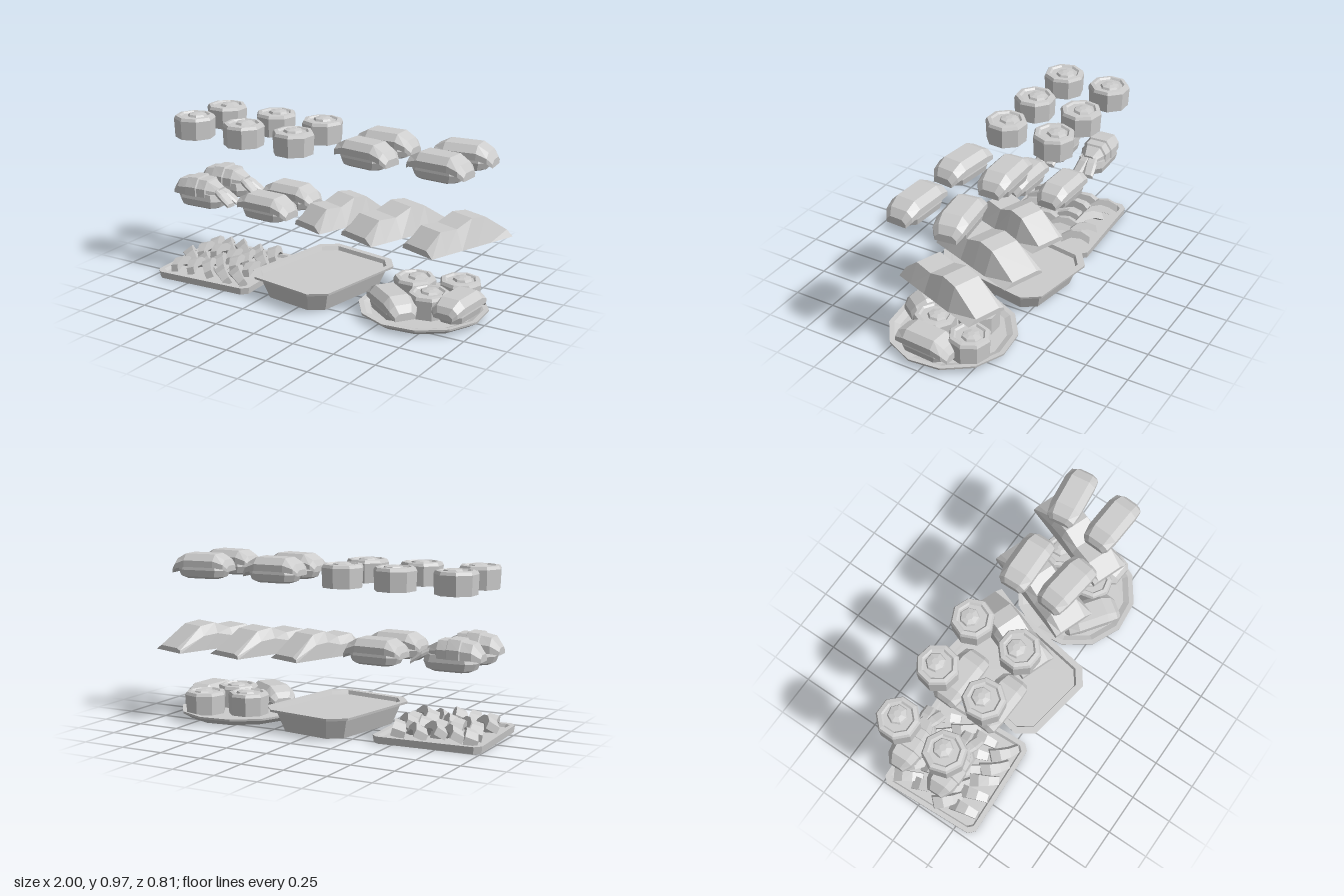
import * as THREE from 'three';

// Skin a list of closed rings ([x,y,z] points), cap both ends, faceted normals
function loft(rings) {
  const tris = [], n = rings[0].length;
  const tri = (a, b, c) => tris.push([a, b, c]);
  for (let i = 0; i + 1 < rings.length; i++) {
    for (let j = 0; j < n; j++) {
      const k = (j + 1) % n, p = rings[i], q = rings[i + 1];
      tri(p[j], p[k], q[k]);
      tri(p[j], q[k], q[j]);
    }
  }
  const first = rings[0], last = rings[rings.length - 1];
  for (let j = 1; j + 1 < n; j++) {
    tri(first[0], first[j + 1], first[j]);
    tri(last[0], last[j], last[j + 1]);
  }
  // Turn all faces outward by the sign of the enclosed volume
  const v = (p) => new THREE.Vector3(...p);
  let volume = 0;
  for (const [a, b, c] of tris) volume += v(a).dot(v(b).cross(v(c)));
  const pos = tris.flatMap(([a, b, c]) => (volume < 0 ? [a, c, b] : [a, b, c])).flat();
  const g = new THREE.BufferGeometry();
  g.setAttribute('position', new THREE.Float32BufferAttribute(pos, 3));
  g.computeVertexNormals();
  return g;
}

// Horizontal rectangle with clipped corners
function clipRect(w, d, c, y) {
  const x = w / 2, z = d / 2;
  return [[x, z - c], [x - c, z], [c - x, z], [-x, z - c], [-x, c - z], [c - x, -z], [x - c, -z], [x, c - z]]
    .map(([a, b]) => [a, y, b]);
}

// Horizontal regular polygon
function polygon(r, y, sides) {
  return Array.from({ length: sides }, (_, i) => {
    const a = ((i + 0.5) / sides) * Math.PI * 2;
    return [r * Math.cos(a), y, r * Math.sin(a)];
  });
}

// Slab along x from stations [x, bottom, top, halfWidth]
function drape(stations) {
  return loft(stations.map(([x, b, t, w]) => {
    const s = b + (t - b) * 0.5;
    return [[x, b, -w], [x, s, -w], [x, t, -w * 0.6], [x, t, w * 0.6], [x, s, w], [x, b, w]];
  }));
}

export function createModel() {
  const model = new THREE.Group();
  model.name = 'sushiSet';
  const grey = new THREE.MeshStandardMaterial({ color: 0xcccccc });
  grey.name = 'lightGrey';

  const mesh = (name, geometry, parent) => {
    const m = new THREE.Mesh(geometry, grey);
    m.name = name;
    parent.add(m);
    return m;
  };
  const group = (name, x, y, z, turn = 0) => {
    const g = new THREE.Group();
    g.name = name;
    g.position.set(x, y, z);
    g.rotation.y = turn;
    model.add(g);
    return g;
  };

  // Rolls: wrapper with a sunken top and a low filling
  const rollBody = loft([
    polygon(0.116, 0, 8), polygon(0.121, 0.11, 8), polygon(0.112, 0.127, 8),
    polygon(0.09, 0.13, 8), polygon(0.08, 0.12, 8),
  ]);
  const rollFilling = loft([polygon(0.06, 0.115, 7), polygon(0.05, 0.132, 7), polygon(0.02, 0.138, 7)]);
  const roll = (x, y, z, turn) => {
    const g = group('roll', x, y, z, turn);
    mesh('rollWrapper', rollBody, g);
    mesh('rollFilling', rollFilling, g).position.set(0.012, 0, -0.01);
  };
  [[-0.825, -0.18], [-0.835, 0.125], [-0.47, -0.18], [-0.485, 0.13], [-0.15, -0.18], [-0.15, 0.125]]
    .forEach(([x, z], i) => roll(x, 0.83, z, i * 0.3));
  [[0.52, -0.09], [0.76, -0.18], [0.7, 0.08]].forEach(([x, z], i) => roll(x, 0.035, z, i * 0.5));

  // Rice pieces with a draped topping
  const rice = loft([
    clipRect(0.21, 0.11, 0.03, 0), clipRect(0.27, 0.145, 0.04, 0.012),
    clipRect(0.3, 0.162, 0.045, 0.05), clipRect(0.28, 0.15, 0.045, 0.09),
  ]);
  const fishTopping = drape([
    [-0.173, 0.045, 0.078, 0.058], [-0.155, 0.06, 0.112, 0.08], [-0.095, 0.068, 0.143, 0.09],
    [0.09, 0.068, 0.143, 0.09], [0.15, 0.055, 0.11, 0.082], [0.178, 0.028, 0.07, 0.06],
  ]);
  const prawnTopping = drape([
    [-0.18, 0.06, 0.1, 0.045], [-0.135, 0.07, 0.155, 0.075], [-0.075, 0.072, 0.165, 0.085],
    [-0.07, 0.072, 0.174, 0.09], [0.0, 0.072, 0.178, 0.09], [0.005, 0.072, 0.168, 0.083],
    [0.06, 0.072, 0.168, 0.08], [0.065, 0.072, 0.158, 0.07], [0.13, 0.08, 0.125, 0.04],
  ]);
  const tailFin = drape([[0.1, 0.1, 0.13, 0.025], [0.16, 0.07, 0.1, 0.035], [0.222, 0.03, 0.052, 0.03]]);
  const ricePiece = (x, y, z, turn, prawn) => {
    const g = group(prawn ? 'prawnPiece' : 'fishPiece', x, y, z, turn);
    mesh('rice', rice, g);
    mesh('topping', prawn ? prawnTopping : fishTopping, g);
    if (prawn) {
      for (const s of [-1, 1]) {
        const fin = mesh('tailFin', tailFin, g);
        fin.rotation.y = s * 0.17;
      }
    }
  };
  [[0.305, -0.135, 0.02], [0.315, 0.12, -0.12], [0.775, -0.15, 0.12], [0.765, 0.12, -0.06]]
    .forEach(([x, z, t]) => ricePiece(x, 0.826, z, t, false));
  for (const z of [0.12, -0.14]) {
    ricePiece(-0.34, 0.412, z, -0.04, false);
    ricePiece(-0.79, 0.415, z, 0.03, true);
  }
  ricePiece(0.52, 0.028, 0.18, -0.62, false);
  ricePiece(0.86, 0.028, 0.03, 1.5, false);

  // Wavy fillets
  const profile = [[-0.3, 0.028], [-0.13, 0.138], [-0.03, 0.15], [0.08, 0.11], [0.2, 0.118], [0.3, 0.035]];
  const fillet = loft(profile.map(([z, h]) => [
    [-0.118, 0, z], [-0.114, h * 0.6, z], [-0.085, h, z], [0.07, h, z], [0.118, 0, z],
  ]));
  [[0.06, -0.07, 0.95, 0.87], [0.405, -0.085, 1.1, 1], [0.785, -0.085, 1, 1]].forEach(([x, z, sx, sz]) => {
    mesh('fillet', fillet, group('filletPiece', x, 0.415, z, -0.35)).scale.set(sx, 1, sz);
  });

  // Shallow tray with strips
  const tray = group('stripTray', -0.675, 0, 0.042, 0.05);
  mesh('tray', loft([
    clipRect(0.62, 0.615, 0.035, 0), clipRect(0.63, 0.625, 0.035, 0.04),
    clipRect(0.575, 0.57, 0.025, 0.04), clipRect(0.555, 0.55, 0.025, 0.022),
  ]), tray);
  const strip = loft([-1, -0.4, 0.3, 1].map((t) => {
    const y = 0.035 * (1 - t * t), z = t * 0.085, w = 0.03 - 0.008 * t;
    return [[-w, y, z], [-w, y + 0.04, z], [w, y + 0.045, z], [w, y, z]];
  }));
  for (let col = 0; col < 5; col++) {
    for (let row = 0; row < 4; row++) {
      const m = mesh('strip', strip, tray);
      const wobble = Math.sin(col * 7.1 + row * 3.7);
      m.position.set(-0.205 + col * 0.103, 0.03 + 0.009 * ((col + row) % 3), -0.195 + row * 0.13);
      m.rotation.set(0.15 * wobble, 0.45 + 0.4 * wobble, 0.3 + 0.15 * wobble);
    }
  }

  // Deep rectangular dish with a flared rim
  const dish = group('deepDish', -0.025, 0, 0.005, -0.165);
  mesh('dish', loft([
    clipRect(0.43, 0.6, 0.07, 0), clipRect(0.51, 0.675, 0.08, 0.115), clipRect(0.565, 0.735, 0.085, 0.117),
    clipRect(0.57, 0.74, 0.085, 0.131), clipRect(0.5, 0.665, 0.07, 0.131), clipRect(0.485, 0.65, 0.07, 0.108),
  ]), dish);

  // Round plate
  const plate = group('roundPlate', 0.628, 0, 0.01, 0.1);
  mesh('plate', loft([
    polygon(0.31, 0, 12), polygon(0.362, 0.032, 12), polygon(0.364, 0.044, 12),
    polygon(0.335, 0.042, 12), polygon(0.3, 0.028, 12),
  ]), plate);

  return model;
}
